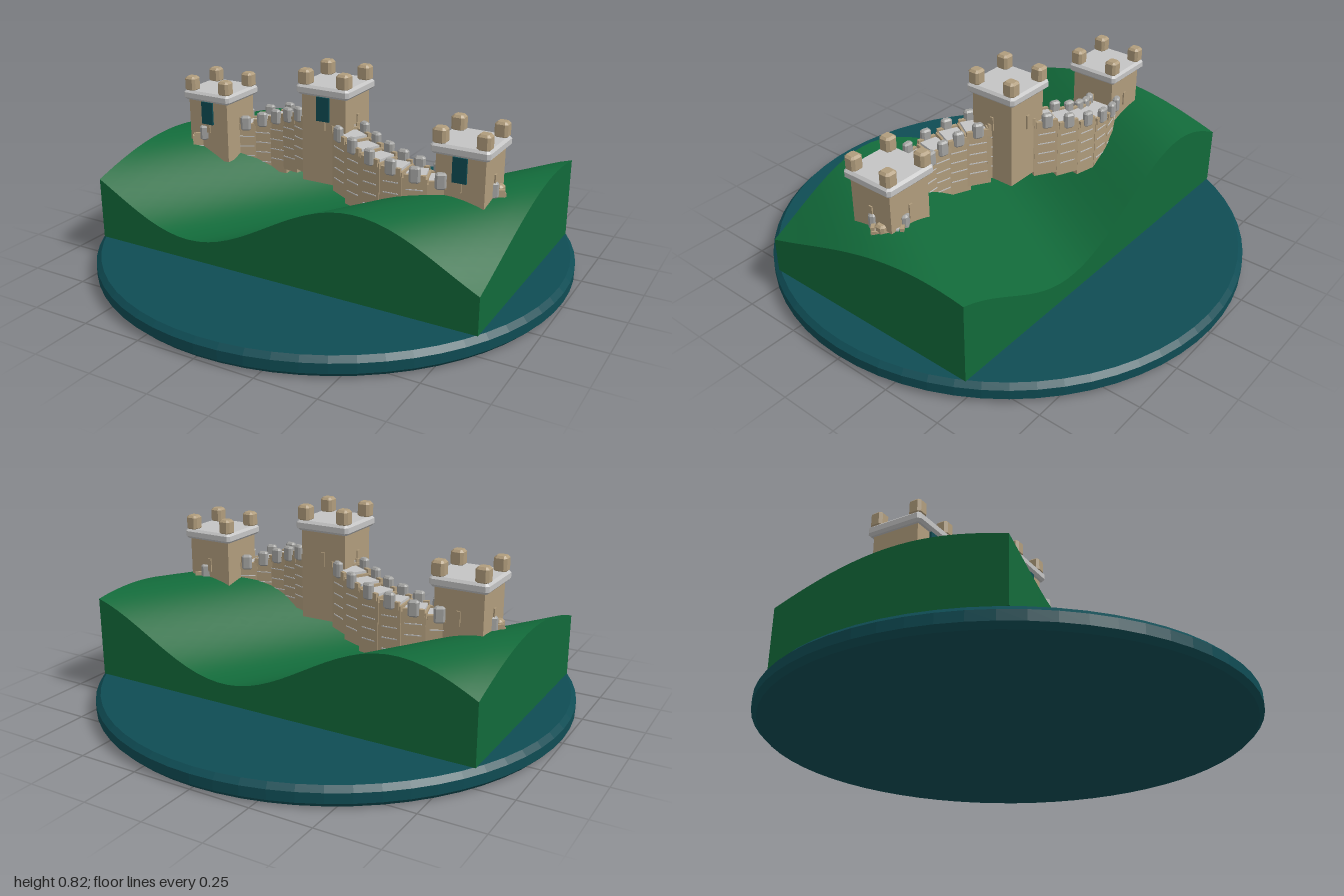
import * as THREE from 'three';

const mat = (name, color, extra = {}) => {
  const m = new THREE.MeshStandardMaterial({ color, ...extra });
  m.name = name;
  return m;
};

export function createModel() {
  const teal = mat('deep teal', 0x0f4c54);
  const green = mat('hill green', 0x126a3a);
  const stone = mat('tan stone', 0xb09c7c);
  const slab = mat('pale slab', 0xc4c4c4);
  const merlonGrey = mat('merlon grey', 0xa2a2a0);
  const model = new THREE.Group();
  model.name = 'hillWall';

  const add = (parent, name, geo, material, x = 0, y = 0, z = 0) => {
    const mesh = new THREE.Mesh(geo, material);
    mesh.name = name;
    mesh.position.set(x, y, z);
    parent.add(mesh);
    return mesh;
  };
  const box = (w, h, d) => new THREE.BoxGeometry(w, h, d);

  // Block with chamfered corners and rims, standing on y = 0
  const chamferBlock = (w, h, d, c) => {
    const a = w / 2 - c, b = d / 2 - c, e = c * 0.6;
    const s = new THREE.Shape([
      [-a + e, -b], [a - e, -b], [a, -b + e], [a, b - e],
      [a - e, b], [-a + e, b], [-a, b - e], [-a, -b + e],
    ].map(([x, y]) => new THREE.Vector2(x, y)));
    const g = new THREE.ExtrudeGeometry(s, {
      depth: h - 2 * c, bevelEnabled: true, bevelSize: c, bevelThickness: c, bevelSegments: 1,
    });
    return g.translate(0, 0, c).rotateX(-Math.PI / 2);
  };

  // Round base with chamfered rims, flat shaded
  const rim = [[0, 0], [0.98, 0], [1, 0.02], [1, 0.06], [0.98, 0.08], [0, 0.08]];
  const baseGeo = new THREE.LatheGeometry(rim.map(([x, y]) => new THREE.Vector2(x, y)), 64).toNonIndexed();
  baseGeo.computeVertexNormals();
  add(model, 'base', baseGeo, teal);

  // Rolling hill: a block whose top follows a diagonal wave
  const hillHeight = (x, z) => 0.298 + 0.133 * Math.cos(4.2 * (x - 0.35) + 2.6 * (z - 0.5));
  const hillGeo = new THREE.BoxGeometry(1.7, 1, 1, 34, 1, 20);
  const p = hillGeo.attributes.position;
  for (let i = 0; i < p.count; i++) {
    p.setY(i, p.getY(i) > 0 ? hillHeight(p.getX(i), p.getZ(i)) : 0.08);
  }
  hillGeo.computeVertexNormals();
  add(model, 'hill', hillGeo, green);

  // Winding wall: stepped segments along an S-curve, highest in the middle
  const wallZ = (x) => 0.16 * Math.sin(4.5 * x);
  const wallTop = (x) => 0.6 - 0.25 * Math.abs(x);
  const merlonGeo = chamferBlock(0.044, 0.065, 0.03, 0.007);
  const wall = new THREE.Group();
  wall.name = 'wall';
  model.add(wall);
  const count = 18, step = 1.44 / count;
  for (let i = 0; i < count; i++) {
    const x0 = -0.72 + i * step, x1 = x0 + step, x = (x0 + x1) / 2;
    const dz = wallZ(x1) - wallZ(x0);
    const len = Math.hypot(step, dz);
    const seg = new THREE.Group();
    seg.name = 'wallSegment';
    seg.position.set(x, wallTop(x), wallZ(x));
    seg.rotation.y = -Math.atan2(dz, step);
    wall.add(seg);
    add(seg, 'wallBody', box(len + 0.012, 0.24, 0.115), stone, 0, -0.12, 0);
    add(seg, 'walkway', box(len - 0.006, 0.012, 0.086), slab, 0, 0.004, 0);
    for (const side of [-1, 1]) {
      add(seg, 'parapet', box(len, 0.03, 0.014), stone, 0, 0, side * 0.055);
      add(seg, 'merlon', merlonGeo, merlonGrey, 0, -0.015, side * 0.06);
      // Fine stone courses on the faces
      for (let k = 1; k < 5; k++) {
        add(seg, 'course', box(len * 0.8, 0.004, 0.003), slab, 0, -0.045 * k, side * 0.058);
      }
    }
  }

  // Square tower with cap, corner posts, banner and slits
  const postGeo = chamferBlock(0.054, 0.065, 0.054, 0.009);
  const slitGeo = box(0.016, 0.06, 0.008);
  const tower = (name, x, z, bottom, capY) => {
    const t = new THREE.Group();
    t.name = name;
    t.position.set(x, 0, z);
    model.add(t);
    add(t, 'towerBody', box(0.2, capY - bottom + 0.01, 0.2), stone, 0, (capY + 0.01 + bottom) / 2, 0);
    add(t, 'towerCap', chamferBlock(0.24, 0.042, 0.24, 0.01), slab, 0, capY, 0);
    for (const sx of [-1, 1]) for (const sz of [-1, 1]) {
      add(t, 'cornerPost', postGeo, stone, sx * 0.088, capY + 0.036, sz * 0.088);
    }
    add(t, 'banner', box(0.058, 0.1, 0.008), teal, 0, capY - 0.052, 0.107);
    for (let k = 0; k < 4; k++) {
      const a = k * Math.PI / 2;
      const slit = add(t, 'slit', slitGeo, stone, Math.sin(a) * 0.102, capY - 0.112, Math.cos(a) * 0.102);
      slit.rotation.y = a;
    }
  };
  tower('rightTower', -0.62, -0.06, 0.33, 0.594);
  tower('middleTower', 0, 0, 0.35, 0.72);
  tower('leftTower', 0.62, 0.06, 0.33, 0.594);

  // Low stubs where the wall ends pass through the outer towers
  for (const s of [-1, 1]) {
    add(model, 'wallEnd', chamferBlock(0.04, 0.06, 0.044, 0.008), stone, s * 0.722, 0.395, s * 0.01);
  }

  return model;
}
